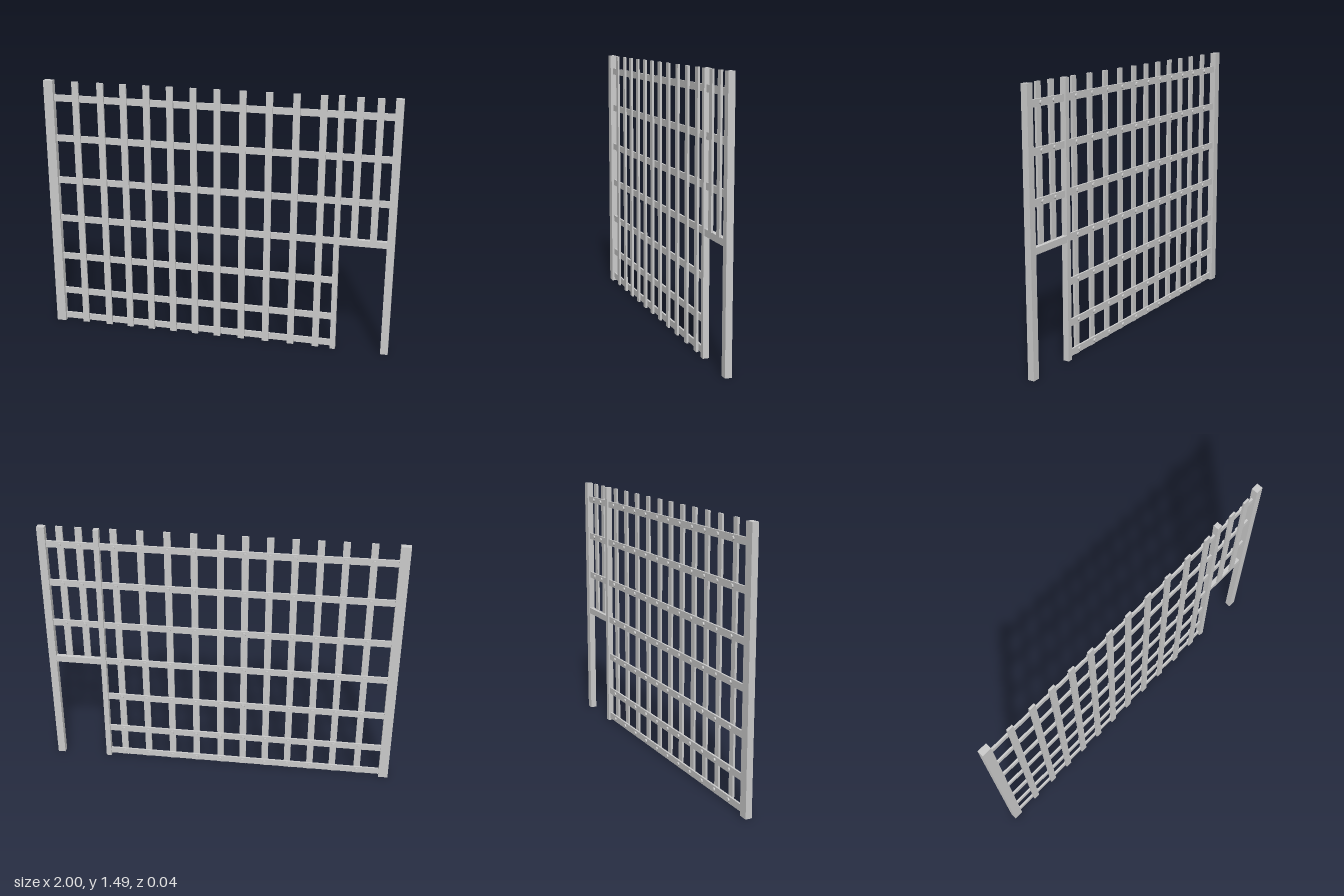
import * as THREE from 'three';

export function createModel() {
  const group = new THREE.Group();
  const grey = new THREE.MeshStandardMaterial({ color: 0xcccccc, flatShading: true });
  const H = 1.487;

  // box given by its min and max along each axis
  function bar(name, x0, x1, y0, y1, z0, z1) {
    const geometry = new THREE.BoxGeometry(x1 - x0, y1 - y0, z1 - z0);
    const mesh = new THREE.Mesh(geometry, grey);
    mesh.position.set((x0 + x1) / 2, (y0 + y1) / 2, (z0 + z1) / 2);
    mesh.name = name;
    group.add(mesh);
    return mesh;
  }

  // side posts
  bar('rightPost', -1, -0.945, 0, H, -0.018, 0.018);
  bar('leftPost', 0.957, 1, 0, H, -0.018, 0.018);

  // door post, leaning slightly: its top is shifted sideways
  const doorPost = bar('doorPost', 0.668, 0.698, 0, H, -0.018, 0.015);
  const p = doorPost.geometry.attributes.position;
  for (let i = 0; i < p.count; i++) if (p.getY(i) > 0) p.setX(i, p.getX(i) - 0.009);
  doorPost.geometry.computeVertexNormals();

  // horizontal rails; the upper three run on above the opening
  const railYs = [0.033, 0.199, 0.424, 0.664, 0.9, 1.152, 1.386];
  const half = 0.019;
  railYs.forEach((y, i) => {
    bar('rail', -0.945, i > 3 ? 0.957 : 0.685, y - half, y + half, -0.008, 0.003);
  });

  // lintel over the opening
  bar('lintel', 0.685, 0.957, 0.645, 0.682, -0.017, 0.009);

  // bolt heads on the back of the rails
  const boltGeometry = new THREE.CylinderGeometry(0.011, 0.011, 0.008, 10).rotateX(Math.PI / 2);
  function bolts(x, ys) {
    for (const y of ys) {
      const bolt = new THREE.Mesh(boltGeometry, grey);
      bolt.position.set(x, y, -0.012);
      bolt.name = 'bolt';
      group.add(bolt);
    }
  }

  // full-height slats
  for (const x of [-0.815, -0.668, -0.535, -0.401, -0.267, -0.134, 0, 0.144, 0.289, 0.437, 0.583]) {
    bar('slat', x - half, x + half, 0.004, H, 0.003, 0.015);
    bolts(x, railYs);
  }

  // short slats above the opening
  for (const x of [0.775, 0.882]) {
    bar('shortSlat', x - half, x + half, 0.682, H, 0.003, 0.015);
    bolts(x, railYs.slice(4));
  }
  return group;
}
